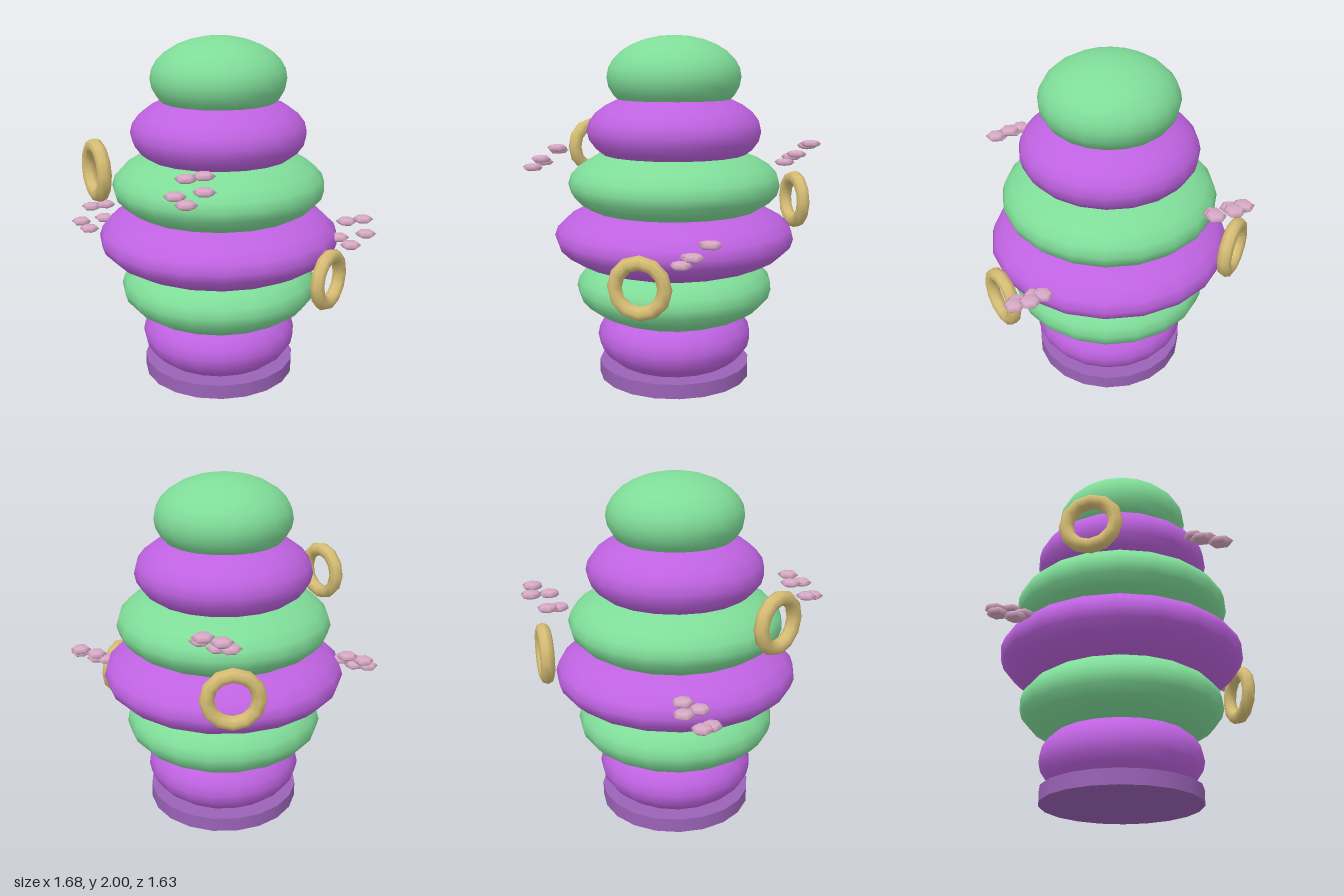
import * as THREE from 'three';

const mat = (name, color) => {
  const m = new THREE.MeshStandardMaterial({ color });
  m.name = name;
  return m;
};

export function createModel() {
  const purple = mat('purple', 0xbe62e0);
  const green = mat('green', 0x7fdc98);
  const mauve = mat('mauve', 0x9a62b6);
  const gold = mat('gold', 0xd6bd74);
  const pink = mat('pink', 0xd6a8c4);

  const model = new THREE.Group();
  model.name = 'stackedTower';
  const add = (parent, name, geometry, material, x, y, z) => {
    const mesh = new THREE.Mesh(geometry, material);
    mesh.name = name;
    mesh.position.set(x, y, z);
    parent.add(mesh);
    return mesh;
  };
  const axisX = -0.008;

  // Flat round foot
  add(model, 'base', new THREE.CylinderGeometry(0.448, 0.448, 0.084, 20), mauve, axisX, 0.042, 0);

  // Overlapping flattened balls, alternating in colour
  [0.457, 0.577, 0.7, 0.617, 0.505, 0.387].forEach((radius, i) => {
    const geo = new THREE.SphereGeometry(1, 20, 14).scale(radius, 0.236, radius);
    add(model, 'tier' + (i + 1), geo, i % 2 ? green : purple, axisX, 0.242 + i * 0.3045, 0);
  });

  // Upright rings facing outward around the tower
  const ringGeo = new THREE.TorusGeometry(0.135, 0.04, 8, 12);
  [[0.72, 0.715, 0, 0], [-0.37, 1.318, 0.64, 120], [-0.385, 1.02, -0.66, 240]].forEach(([x, y, z, deg], i) => {
    const ring = add(model, 'ring' + (i + 1), ringGeo, gold, x, y, z);
    ring.rotation.y = Math.PI / 2 - THREE.MathUtils.degToRad(deg);
  });

  // Flowers of five lens-shaped petals, sloping down toward the front
  const petalGeo = new THREE.SphereGeometry(0.06, 6, 4).rotateY(Math.PI / 6).scale(1, 0.38, 1);
  [[0.28, 1.318, 0.675], [-0.295, 1.318, -0.685], [0.715, 0.912, -0.3], [-0.72, 0.912, 0.295]].forEach(([x, y, z], i) => {
    const flower = new THREE.Group();
    flower.name = 'flower' + (i + 1);
    flower.position.set(x, y, z);
    for (let k = 0; k < 5; k++) {
      const a = (k / 5) * Math.PI * 2;
      add(flower, 'petal' + (k + 1), petalGeo, pink, 0.08 * Math.cos(a), -0.06 * Math.sin(a), 0.08 * Math.sin(a));
    }
    model.add(flower);
  });

  return model;
}
